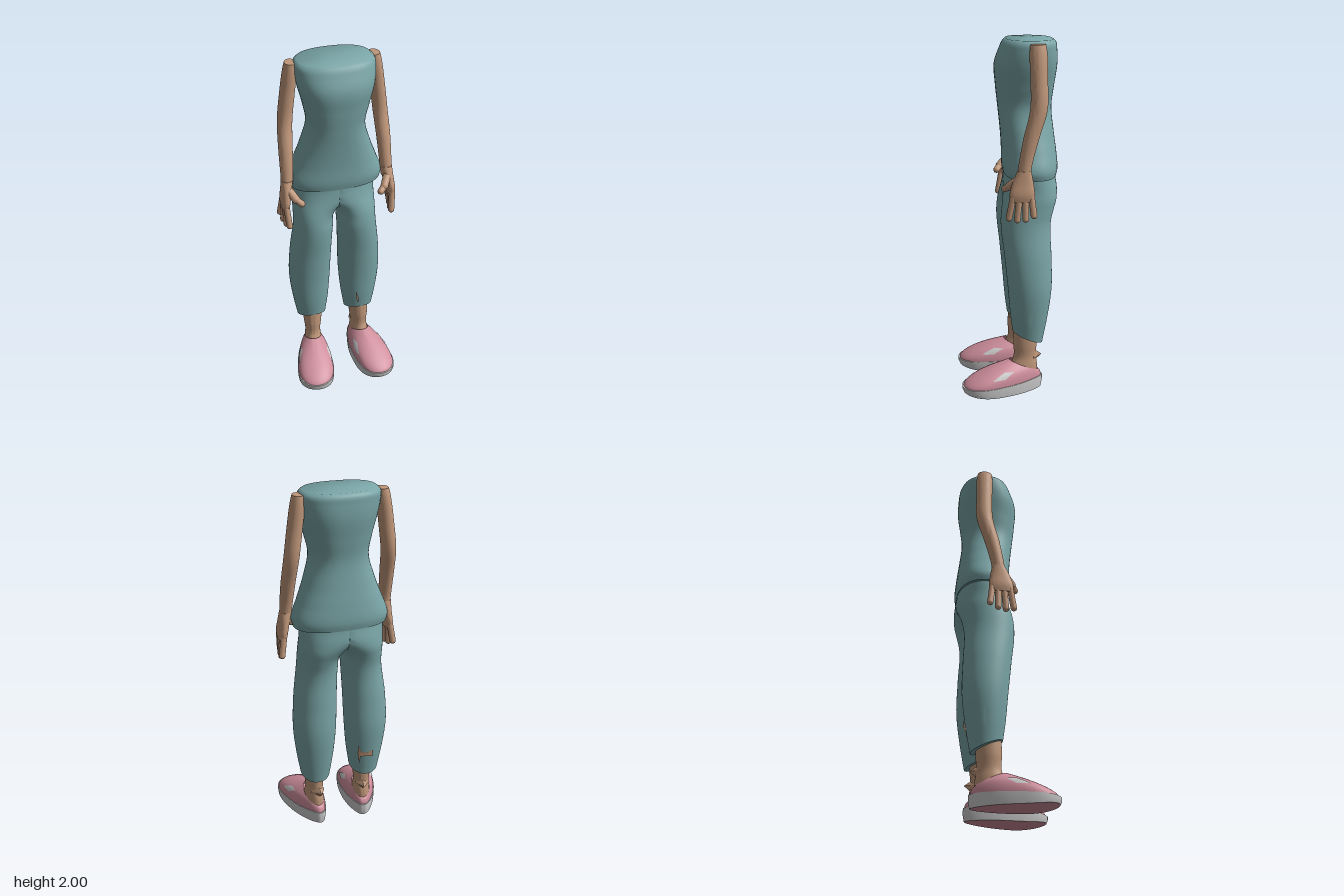
import * as THREE from 'three';
import { mergeVertices, toCreasedNormals } from 'three/addons/utils/BufferGeometryUtils.js';

const mat = (color) => new THREE.MeshStandardMaterial({ color });
const teal = mat(0x7aa5a7), skin = mat(0xc0977a), pink = mat(0xcf8f9d);
const white = mat(0xe6e6e6), grey = mat(0xcccccc);
[teal, skin, pink, white, grey].forEach((m) => { m.side = THREE.DoubleSide; });

function add(parent, name, geometry, material) {
  const mesh = new THREE.Mesh(geometry, material);
  mesh.name = name;
  parent.add(mesh);
  return mesh;
}

// Surface over a grid: f(u, v) returns [x, y, z], u and v being 0..1
function grid(nu, nv, f) {
  const pos = [], idx = [];
  for (let j = 0; j <= nv; j++) for (let i = 0; i <= nu; i++) pos.push(...f(i / nu, j / nv));
  for (let j = 0; j < nv; j++) for (let i = 0; i < nu; i++) {
    const a = j * (nu + 1) + i, b = a + 1, c = a + nu + 1;
    idx.push(a, b, c, b, c + 1, c);
  }
  const g = new THREE.BufferGeometry();
  g.setAttribute('position', new THREE.Float32BufferAttribute(pos, 3));
  g.setIndex(idx);
  return toCreasedNormals(mergeVertices(g, 1e-5), 0.9);
}

// Smooth closed body through oval sections [y, x, z, halfWidth, halfDepth, tilt], bottom to top.
// A side of 1 or -1 keeps the body on that side of x = 0.
function loft(sections, power = 2, steps = 32, side = 0) {
  const times = sections.map((s) => s[0]);
  const values = sections.flatMap((s) => [s[1], s[2], s[3], s[4], s[5] || 0]);
  const curve = new THREE.CubicInterpolant(times, values, 5, new Float32Array(5));
  const y0 = times[0], y1 = times[times.length - 1];
  const bend = (c) => Math.sign(c) * Math.abs(c) ** (2 / power);
  return grid(48, steps + 2, (u, v) => {
    const j = Math.round(v * (steps + 2));
    const y = y0 + (y1 - y0) * THREE.MathUtils.clamp((j - 1) / steps, 0, 1);
    const [cx, z, a, b, tilt] = curve.evaluate(y);
    const k = j === 0 || j === steps + 2 ? 0 : 1; // end caps close to a point
    const c = k * bend(Math.cos(u * 2 * Math.PI)), s = -k * bend(Math.sin(u * 2 * Math.PI));
    const x = cx + a * c;
    return [side ? side * Math.max(0, side * x) : x, y + tilt * s, z + b * s];
  });
}

// Round-ended rod between two points
function rod(parent, name, from, to, r, material) {
  const a = new THREE.Vector3(...from), b = new THREE.Vector3(...to), d = b.clone().sub(a);
  const m = add(parent, name, new THREE.CapsuleGeometry(r, d.length(), 6, 12), material);
  m.position.copy(a).add(b).multiplyScalar(0.5);
  m.quaternion.setFromUnitVectors(new THREE.Vector3(0, 1, 0), d.normalize());
}

// Shoe outline, narrow at the heel and wide at the toe
function outline(phi, k = 1) {
  const c = Math.cos(phi);
  const full = Math.sign(c) * Math.abs(c) ** 0.85;
  return [k * (0.104 + 0.037 * c) * Math.sin(phi), 0.171 + k * 0.236 * full];
}
const soleTop = (z) => 0.072 - 0.05 * Math.max(0, z);
const soleBottom = (z) => 0.018 * Math.max(0, (z - 0.2) / 0.2) ** 2;

// Upper runs from the sole edge (t = 0) to the ankle opening (t = 1)
function upper(phi, t, grow = 1) {
  const [ox, oz] = outline(phi, 0.98);
  const c = Math.cos(phi), w = 1 - Math.cos(t * Math.PI / 2);
  const e = 0.85 - 0.48 * Math.max(0, c);
  const h = e * Math.sin(t * Math.PI / 2) + (1 - e) * w;
  const y0 = soleTop(oz) - 0.004, y1 = 0.148 + 0.038 * c;
  return [
    grow * THREE.MathUtils.lerp(ox, 0.052 * Math.sin(phi), w),
    THREE.MathUtils.lerp(y0, y1, h) + (grow - 1) * 0.1,
    THREE.MathUtils.lerp(oz, 0.045 + 0.085 * c, w),
  ];
}

function makeFoot(s) {
  const foot = new THREE.Group();
  foot.name = s > 0 ? 'leftFoot' : 'rightFoot';
  const turn = 2 * Math.PI;
  const rim = [[0, 0.98], [0.5, 1.01], [1, 1.01], [1, 0.93]];
  add(foot, 'sole', grid(48, 3, (u, v) => {
    const [h, k] = rim[Math.round(v * 3)];
    const [x, z] = outline(u * turn, k);
    return [x, THREE.MathUtils.lerp(soleBottom(z), soleTop(z), h), z];
  }), grey);
  add(foot, 'outsole', grid(48, 8, (u, v) => {
    const [x, z] = outline(u * turn, 0.98 * v);
    return [x, soleBottom(z), z];
  }), pink);
  add(foot, 'shoeUpper', grid(48, 14, (u, v) => upper(u * turn, v)), pink);
  for (const side of [1, -1]) {
    add(foot, 'elasticPanel', grid(6, 6, (u, v) =>
      upper(side * (1.1 + 0.36 * u), 0.38 + 0.32 * v, 1.03)), white);
  }
  add(foot, 'ankle', loft([
    [0.09, 0, 0.045, 0.05, 0.083], [0.15, 0, 0.045, 0.05, 0.08], [0.2, 0, 0.038, 0.046, 0.066],
    [0.28, 0, 0.036, 0.054, 0.069], [0.42, 0, 0.03, 0.06, 0.07]]), skin);
  const heel = add(foot, 'heel', new THREE.ConeGeometry(0.046, 0.06, 4), skin);
  heel.rotation.x = -Math.PI / 2;
  heel.position.set(0, 0.195, -0.035);
  foot.position.set(s * 0.141 - 0.006, 0, -0.008);
  foot.rotation.y = s * THREE.MathUtils.degToRad(10);
  return foot;
}

function makeArm(s) {
  const arm = new THREE.Group();
  arm.name = s > 0 ? 'leftArm' : 'rightArm';
  const side = (list) => list.map(([y, x, ...rest]) => [y, s * x, ...rest]);
  add(arm, 'armLimb', loft(side([
    [1.27, 0.288, 0.062, 0.03, 0.036], [1.35, 0.284, 0.053, 0.034, 0.036],
    [1.5, 0.278, 0.02, 0.039, 0.042], [1.65, 0.268, -0.02, 0.041, 0.046],
    [1.8, 0.25, -0.023, 0.041, 0.046], [1.95, 0.23, -0.02, 0.037, 0.046],
    [1.985, 0.226, -0.019, 0.032, 0.041]])), skin);
  add(arm, 'palm', loft(side([
    [1.165, 0.306, 0.07, 0.019, 0.062], [1.2, 0.305, 0.07, 0.025, 0.068],
    [1.26, 0.296, 0.066, 0.028, 0.058], [1.33, 0.286, 0.057, 0.032, 0.037]]), 2.4, 12), skin);
  // Fingers fan out from the knuckles, little finger first
  [1.09, 1.07, 1.065, 1.075].forEach((tip, i) => {
    rod(arm, 'finger', [s * 0.307, 1.19, 0.02 + 0.033 * i],
      [s * (0.322 - 0.008 * i), tip, 0.008 + 0.044 * i], 0.0175, skin);
  });
  rod(arm, 'thumb', [s * 0.288, 1.285, 0.085], [s * 0.255, 1.24, 0.135], 0.023, skin);
  rod(arm, 'thumbTip', [s * 0.255, 1.24, 0.135], [s * 0.228, 1.22, 0.155], 0.019, skin);
  return arm;
}

// Tear in the trousers: a flat outline wrapped round the lower leg
function makeTear(points, x, angle) {
  const g = new THREE.ShapeGeometry(new THREE.Shape(points.map((p) => new THREE.Vector2(...p))));
  const p = g.attributes.position;
  for (let i = 0; i < p.count; i++) {
    const y = p.getY(i), r = 0.115 + 0.13 * y, t = angle + p.getX(i) / 0.106;
    p.setXYZ(i, x + r * Math.sin(t), 0.445 + y, 0.008 + r * Math.cos(t));
  }
  g.computeVertexNormals();
  return g;
}

export function createModel() {
  const model = new THREE.Group();
  model.name = 'figure';
  const body = new THREE.Group();
  body.name = 'body';
  body.position.set(0.07, 0, -0.12);
  body.rotation.y = THREE.MathUtils.degToRad(-31);
  model.add(body);

  add(body, 'top', loft([
    [1.262, 0, -0.005, 0.26, 0.145], [1.3, 0, -0.005, 0.268, 0.152], [1.4, 0, 0, 0.234, 0.15],
    [1.5, 0, 0.01, 0.196, 0.147], [1.64, 0, 0.024, 0.159, 0.148], [1.75, 0.003, 0.024, 0.178, 0.16],
    [1.87, 0.004, 0.019, 0.208, 0.17], [1.95, 0.003, 0.006, 0.218, 0.154],
    [1.985, 0.002, 0, 0.214, 0.143], [2, 0.001, 0, 0.198, 0.128]], 2.4, 60), teal);

  // Each trouser leg grows into its half of the hips
  const trousers = new THREE.Group();
  trousers.name = 'trousers';
  trousers.position.x = -0.008;
  body.add(trousers);
  const leg = [
    [0.325, 0.148, 0.015, 0.085, 0.086, 0.036], [0.45, 0.15, 0.008, 0.105, 0.106, 0.01],
    [0.62, 0.152, 0.004, 0.121, 0.124, 0], [0.8, 0.145, 0.014, 0.12, 0.132, 0],
    [1, 0.128, 0.026, 0.112, 0.14, 0], [1.08, 0.122, 0.014, 0.115, 0.146, 0],
    [1.13, 0.1, 0.002, 0.137, 0.15, 0], [1.19, 0.045, -0.006, 0.19, 0.15, 0],
    [1.25, 0.002, -0.006, 0.236, 0.144, 0], [1.31, 0, -0.004, 0.236, 0.14, 0]];
  for (const s of [1, -1]) {
    add(trousers, s > 0 ? 'leftTrouserLeg' : 'rightTrouserLeg',
      loft(leg.map(([y, x, ...rest]) => [y, s * x, ...rest]), 2.1, 64, s), teal);
    body.add(makeFoot(s), makeArm(s));
  }

  add(body, 'backTear', makeTear([[-0.042, 0], [-0.034, -0.065], [-0.025, -0.018], [0.005, -0.014],
    [0.04, -0.022], [0.04, 0.024], [0.005, 0.012], [-0.022, 0.016], [-0.036, 0.06]],
  -0.158, Math.PI - 0.25), skin);
  add(body, 'frontTear', makeTear([[0.006, -0.045], [0.009, 0], [-0.006, 0.055], [-0.005, 0]],
    0.142, -0.3), skin);
  return model;
}
